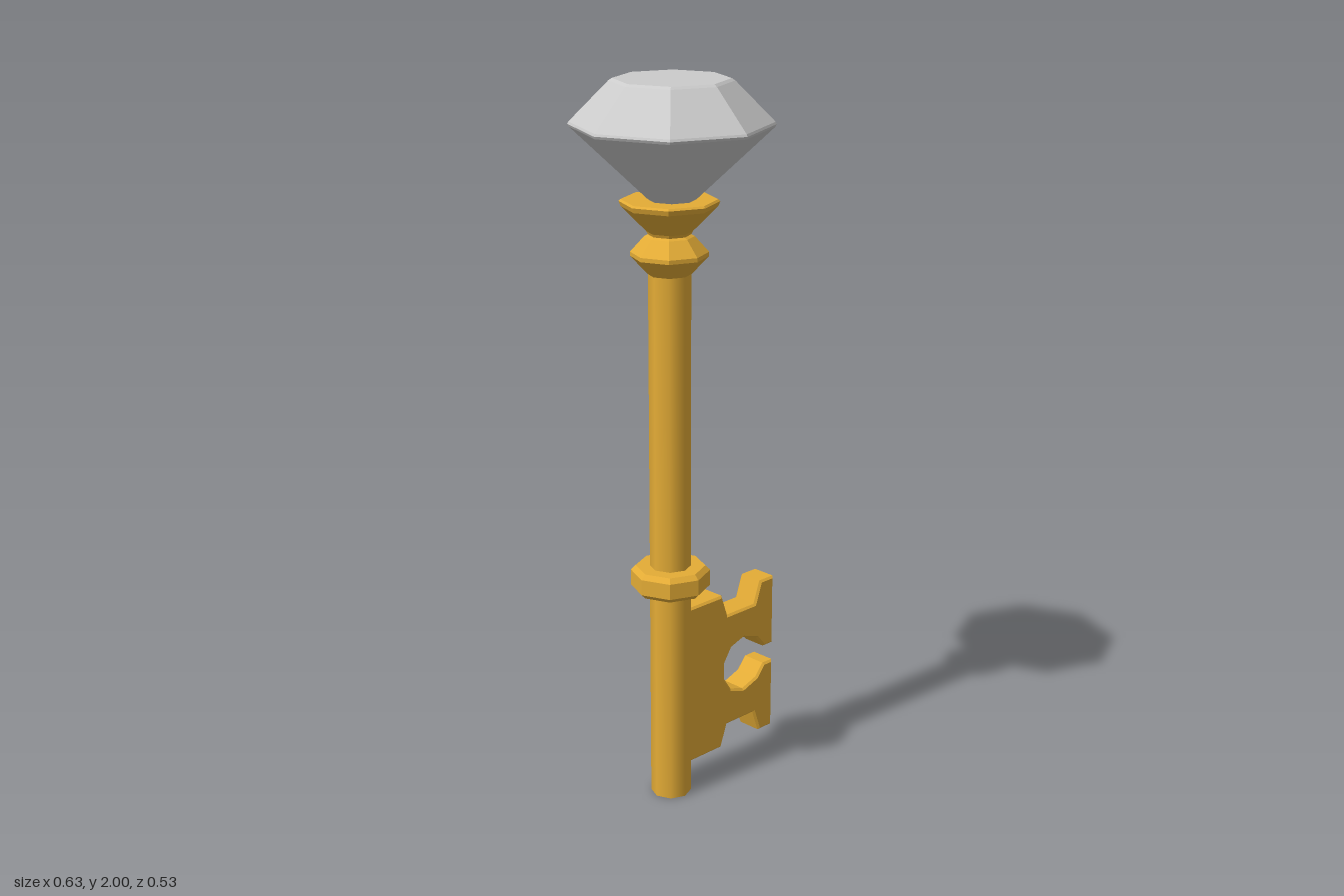
import * as THREE from 'three';

const gold = new THREE.MeshStandardMaterial({ color: 0xe4ac36, flatShading: true });
const smoothGold = new THREE.MeshStandardMaterial({ color: 0xe4ac36 });
const grey = new THREE.MeshStandardMaterial({ color: 0xcccccc, flatShading: true });

const SIDES = 8;
const AXIS_X = -0.058;
const AXIS_Z = -0.007;

export function createModel() {
  const model = new THREE.Group();

  const add = (name, geometry, material, x, y, z) => {
    const mesh = new THREE.Mesh(geometry, material);
    mesh.name = name;
    mesh.position.set(x, y, z);
    model.add(mesh);
  };

  // Eight-sided turned part from [radius, height] pairs, bottom to top
  const turned = (name, profile, material, x = AXIS_X, z = AXIS_Z) => {
    const points = profile.map(([r, y]) => new THREE.Vector2(r, y));
    add(name, new THREE.LatheGeometry(points, SIDES), material, x, 0, z);
  };

  // Shaft
  add('shaft', new THREE.CylinderGeometry(0.056, 0.056, 1.54, SIDES), smoothGold, AXIS_X, 0.77, AXIS_Z);

  // Collar above the bit
  turned('collar', [
    [0, 0.615], [0.095, 0.615], [0.108, 0.628], [0.108, 0.672], [0.095, 0.685], [0, 0.685],
  ], gold);

  // Bead and cup holding the gem
  turned('bead', [
    [0, 1.498], [0.058, 1.498], [0.102, 1.545], [0.102, 1.556], [0.065, 1.597], [0.05, 1.605], [0, 1.605],
  ], gold);
  turned('cup', [
    [0, 1.595], [0.055, 1.6], [0.06, 1.61], [0.125, 1.675], [0.13, 1.688], [0.125, 1.693], [0, 1.693],
  ], gold);

  // Gem
  turned('gem', [
    [0, 1.635], [0.26, 1.878], [0.264, 1.885], [0.261, 1.891], [0.159, 1.994], [0.15, 2], [0, 2],
  ], grey, -0.055, 0);

  // Key bit: lower half outline, mirrored about its middle height
  const lower = [
    [-0.025, -0.235], [0.107, -0.235], [0.13, -0.17], [0.238, -0.17], [0.261, -0.235],
    [0.315, -0.235], [0.315, -0.027], [0.278, -0.027], [0.25, -0.061], [0.195, -0.08],
    [0.146, -0.064], [0.12, -0.025],
  ];
  const upper = lower.map(([x, y]) => [x, -y]).reverse();
  const outline = new THREE.Shape([...lower, ...upper].map(([x, y]) => new THREE.Vector2(x, y)));
  const bevel = 0.006;
  const bit = new THREE.ExtrudeGeometry(outline, {
    depth: 0.08 - 2 * bevel,
    bevelEnabled: true,
    bevelThickness: bevel,
    bevelSize: bevel,
    bevelOffset: -bevel,
    bevelSegments: 1,
  });
  add('bit', bit, gold, 0, 0.32, -0.049 + bevel);

  return model;
}
